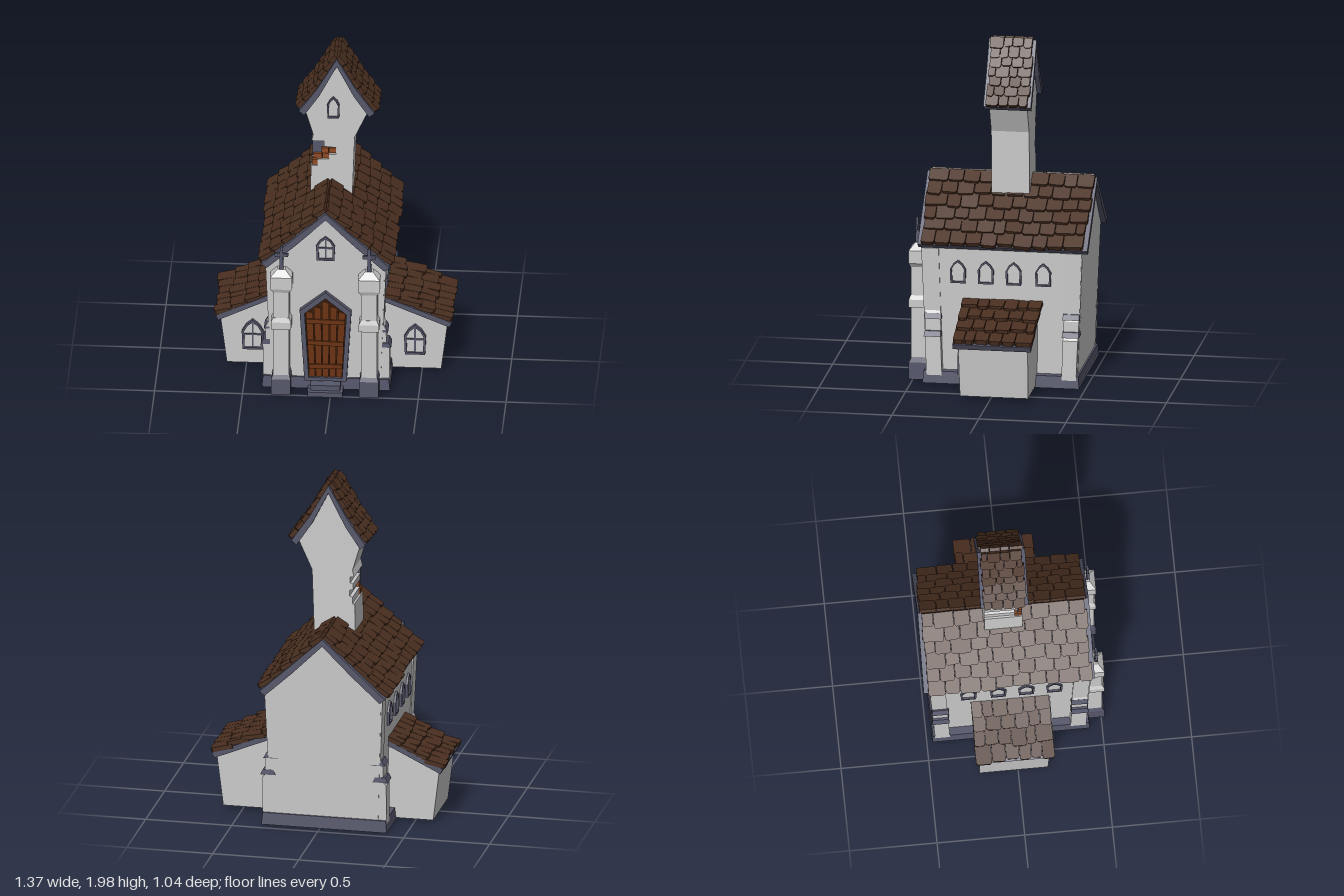
import * as THREE from 'three';
import { mergeGeometries } from 'three/addons/utils/BufferGeometryUtils.js';

const mat = (color) => new THREE.MeshStandardMaterial({ color, flatShading: true });
const wall = mat(0xcccccc), slate = mat(0x55566a), tileMat = mat(0x4a2f20);
const wood = mat(0x6b3312), darkWood = mat(0x3a1c0c), brick = mat(0x8f4a25);

let seed = 7;
const rnd = () => ((seed = (seed * 16807) % 2147483647) / 2147483647);
const jit = (a) => (rnd() - 0.5) * 2 * a;

function add(parent, name, geo, material, x = 0, y = 0, z = 0) {
  const m = new THREE.Mesh(geo, material);
  m.name = name;
  m.position.set(x, y, z);
  parent.add(m);
  return m;
}
const poly = (pts) => new THREE.Shape(pts.map(([x, y]) => new THREE.Vector2(x, y)));

// Flat outline pushed from z0 to z1, widening in z with height by flare
function prism(pts, z0, z1, flare = 0, hole) {
  const s = poly(pts);
  if (hole) s.holes.push(poly(hole));
  const g = new THREE.ExtrudeGeometry(s, { depth: z1 - z0, bevelEnabled: false }).translate(0, 0, z0);
  const p = g.attributes.position;
  for (let i = 0; i < p.count; i++) p.setZ(i, p.getZ(i) * (1 + flare * p.getY(i)));
  return g;
}

// Box standing on y = 0 whose top can differ from its bottom
function taper(w0, d0, w1, d1, h) {
  const g = new THREE.BoxGeometry(1, h, 1).translate(0, h / 2, 0), p = g.attributes.position;
  for (let i = 0; i < p.count; i++) {
    const top = p.getY(i) > h / 2;
    p.setX(i, p.getX(i) * (top ? w1 : w0));
    p.setZ(i, p.getZ(i) * (top ? d1 : d0));
  }
  return g;
}

// Pointed arch window facing +z, standing on its own origin
function archPts(w, h, e = 0) {
  const a = w / 2 - e;
  return [[-a, e], [a, e], [a * 1.08, h * 0.6], [a * 0.65, h * 0.83 - e * 0.6], [0, h - e * 1.3],
    [-a * 0.65, h * 0.83 - e * 0.6], [-a * 1.08, h * 0.6]];
}
function windowAt(parent, name, w, h, x, y, z, turn, bars = true, e = 0.012) {
  const g = new THREE.Group();
  g.name = name;
  add(g, 'windowFrame', prism(archPts(w, h), 0, 0.028, 0, archPts(w, h, e)), slate);
  add(g, 'windowPane', prism(archPts(w, h, e * 0.9), 0, 0.016), wall);
  if (bars) {
    add(g, 'mullion', new THREE.BoxGeometry(0.009, h * 0.9, 0.012), slate, 0, h * 0.48, 0.017);
    add(g, 'crossbar', new THREE.BoxGeometry(w * 0.95, 0.009, 0.012), slate, 0, h * 0.5, 0.017);
  }
  g.position.set(x, y, z);
  g.rotation.y = turn;
  parent.add(g);
}

// Rows of uneven, overlapping tiles down a slope; pts run from ridge to eave, side mirrors in x
function tiles(parent, pts, side, z0, z1, rows, cols) {
  const curve = new THREE.CatmullRomCurve3(pts.map(([x, y]) => new THREE.Vector3(x, y, 0)));
  const len = curve.getLength() / rows, list = [];
  for (let r = 0; r < rows; r++) {
    const p = curve.getPointAt((r + 0.5) / rows), t = curve.getTangentAt((r + 0.5) / rows);
    const angle = Math.atan2(t.y, t.x);
    const cuts = [z0 + jit(0.008)];
    for (let c = 1; c < cols; c++) cuts.push(z0 + ((z1 - z0) * (c + (r % 2 ? 0.2 : -0.2) + jit(0.18))) / cols);
    cuts.push(z1 + jit(0.008));
    for (let c = 0; c < cols; c++) {
      const w = (cuts[c + 1] - cuts[c]) / 2 - 0.0015, k = 0.01;
      const a = -len * (r ? 0.7 : 0.5), b = len * (0.55 + jit(0.12));
      const g = prism([[a, -w], [b - k, -w], [b, -w + k], [b + jit(0.005), w - k], [b - k, w], [a, w]], 0, 0.026);
      g.rotateX(-Math.PI / 2);
      g.rotateZ(0.17 + jit(0.05));
      if (side < 0) g.rotateY(Math.PI);
      g.rotateY(jit(0.03));
      g.rotateZ(side * angle);
      list.push(g.translate(side * p.x, p.y, (cuts[c] + cuts[c + 1]) / 2));
    }
  }
  add(parent, 'roofTiles', mergeGeometries(list), tileMat);
}

// Two-sided roof: slate boarding with tiles on both slopes
function gableRoof(parent, [ridge, mid, eave], t, z0, z1, inset, rows, cols) {
  const half = [ridge, mid, eave, [eave[0] - 0.03, eave[1] - 0.026], [mid[0] - 0.012, mid[1] - t], [0, ridge[1] - t]];
  for (const s of [1, -1]) {
    add(parent, 'roofBoarding', prism(half.map(([x, y]) => [x * s, y]), z0, z1), slate);
    tiles(parent, [ridge, mid, eave], s, z0 + inset, z1 - inset, rows, cols);
  }
}

function buildNave(root) {
  const nave = new THREE.Group();
  nave.name = 'nave';
  nave.position.x = -0.03;
  root.add(nave);
  add(nave, 'naveWalls', prism([[-0.31, 0.02], [0.31, 0.02], [0.335, 0.8], [0, 1.13], [-0.335, 0.8]], -0.452, 0.412, 0.09), wall);
  add(nave, 'plinth', taper(0.73, 0.9, 0.715, 0.89, 0.07), slate, 0, 0.01, -0.02);
  gableRoof(nave, [[0, 1.162], [0.185, 0.99], [0.365, 0.826]], 0.042, -0.518, 0.458, 0.018, 6, 10);
  windowAt(nave, 'gableWindow', 0.1, 0.155, 0, 0.86, 0.432, 0);

  for (const s of [1, -1]) {
    for (const z of [0.23, 0.07, -0.09, -0.26]) windowAt(nave, 'sideWindow', 0.085, 0.135, s * 0.316, 0.6, z, s * Math.PI / 2, false, 0.01);
    // Stepped corner buttresses
    for (const [z0, z1, y] of [[0.318, 0.406, 0], [-0.45, -0.366, 0.025]]) {
      const o = [[0.25, 0.02], [0.36, 0.02], [0.36, 0.29], [0.343, 0.31], [0.343, 0.4], [0.328, 0.43], [0.343, 0.8], [0.25, 0.8]];
      add(nave, 'buttress', prism(o.map(([x, h]) => [s * x, h]), z0, z1, 0.09), wall);
      const z = (z0 + z1) * 0.515;
      add(nave, 'buttressLedge', taper(0.09, 0.098, 0.06, 0.092, 0.03), slate, s * 0.326, 0.285 + y, z);
      add(nave, 'buttressLedge', taper(0.085, 0.098, 0.05, 0.092, 0.03), slate, s * 0.311, 0.385 + y, z);
    }
    buildColumn(nave, s * 0.25);
  }

  // Door with pointed frame, planks and battens
  const outer = [[-0.12, 0.08], [0.12, 0.08], [0.147, 0.53], [0, 0.655], [-0.147, 0.53]];
  const inner = [[-0.095, 0.1], [0.095, 0.1], [0.119, 0.515], [0, 0.615], [-0.119, 0.515]];
  add(nave, 'doorFrame', prism(outer, 0.4, 0.465, 0, inner), slate);
  add(nave, 'doorBacking', prism(inner, 0.4, 0.443), darkWood);
  for (let i = -2; i <= 2; i++) {
    const x0 = i * 0.038, x1 = i * 0.0465, top = 0.605 - Math.abs(i) * 0.037 - rnd() * 0.015;
    add(nave, 'doorPlank', prism([[x0 - 0.017, 0.1], [x0 + 0.017, 0.1], [x1 + 0.02, top - 0.012], [x1 - 0.02, top]], 0.435, 0.452), wood);
  }
  for (const [y, w] of [[0.17, 0.19], [0.32, 0.205], [0.46, 0.22]]) {
    add(nave, 'doorBatten', new THREE.BoxGeometry(w, 0.028, 0.01), wood, 0, y, 0.455).rotation.z = jit(0.04);
  }
  add(nave, 'lowerStep', new THREE.BoxGeometry(0.2, 0.03, 0.12), slate, 0, 0.015, 0.452);
  add(nave, 'upperStep', new THREE.BoxGeometry(0.17, 0.032, 0.09), slate, 0, 0.046, 0.443);
}

// Front column topped by a cross
function buildColumn(parent, x) {
  const c = new THREE.Group();
  c.name = 'frontColumn';
  c.position.set(x, 0, 0.468);
  parent.add(c);
  add(c, 'columnBase', taper(0.11, 0.12, 0.11, 0.12, 0.1), slate, 0, 0.01, -0.01);
  add(c, 'columnBaseSlope', taper(0.11, 0.12, 0.09, 0.09, 0.03), slate, 0, 0.11, -0.01);
  add(c, 'columnShaft', taper(0.09, 0.085, 0.092, 0.085, 0.56), wall, 0, 0.13, -0.004);
  add(c, 'columnRing', taper(0.115, 0.1, 0.115, 0.1, 0.045), wall, 0, 0.435);
  add(c, 'columnRingSlope', taper(0.115, 0.1, 0.09, 0.08, 0.025), wall, 0, 0.48);
  add(c, 'columnNeck', taper(0.09, 0.08, 0.125, 0.1, 0.025), wall, 0, 0.67);
  add(c, 'columnCap', taper(0.125, 0.1, 0.125, 0.1, 0.075), wall, 0, 0.695);
  add(c, 'columnTop', taper(0.125, 0.1, 0.045, 0.035, 0.04), wall, 0, 0.77);
  add(c, 'crossPost', taper(0.024, 0.02, 0.016, 0.014, 0.15), slate, 0, 0.805, 0.008);
  add(c, 'crossArm', new THREE.BoxGeometry(0.078, 0.018, 0.014), slate, 0, 0.9, 0.008);
}

// Lean-to wing on each side
function buildWing(root, s) {
  const wing = new THREE.Group();
  wing.name = s > 0 ? 'leftWing' : 'rightWing';
  root.add(wing);
  const xi = s > 0 ? 0.285 : 0.345;
  const flip = (pts) => pts.map(([x, y]) => [s * x, y]);
  add(wing, 'wingWalls', prism(flip([[0.24, 0.02], [0.61, 0.02], [0.648, 0.33], [xi, 0.48], [0.24, 0.48]]), -0.195, 0.195, 0.08).translate(0, 0, -0.025), wall);
  add(wing, 'wingRoofBoarding', prism(flip([[xi - 0.03, 0.505], [0.672, 0.338], [0.658, 0.308], [xi - 0.03, 0.475]]), -0.245, 0.205), slate);
  tiles(wing, [[xi, 0.494], [0.48, 0.42], [0.664, 0.335]], s, -0.25, 0.208, 4, 6);
  windowAt(wing, 'wingWindow', 0.115, 0.19, s * 0.462, 0.12, 0.17, 0);
}

function buildTower(root) {
  const tower = new THREE.Group();
  tower.name = 'bellTower';
  root.add(tower);
  // Plaster face with a deep broken patch, and a rear part with a chipped edge
  const right = [[0.095, 1], [0.11, 1.45], [0.187, 1.62], [0.02, 1.92], [-0.172, 1.62], [-0.125, 1.46], [-0.135, 1.42]];
  const patch = [[-0.065, 1.42], [-0.065, 1.385], [0.005, 1.38], [0.005, 1.335], [-0.035, 1.335], [-0.035, 1.305], [-0.1, 1.3], [-0.1, 1.26]];
  const chips = [[-0.112, 1.42], [-0.112, 1.385], [-0.128, 1.38], [-0.128, 1.345], [-0.108, 1.34], [-0.108, 1.305], [-0.126, 1.3], [-0.126, 1.26]];
  const left = [[-0.138, 1.26], [-0.143, 1]];
  add(tower, 'towerFace', prism([...right, ...patch, ...left], 0.04, 0.07), wall);
  add(tower, 'towerWalls', prism([...right, ...chips, ...left], -0.148, 0.04), wall);
  add(tower, 'patchBacking', new THREE.BoxGeometry(0.08, 0.11, 0.012), slate, -0.09, 1.37, 0.045);
  for (const [x, y, w] of [[-0.115, 1.278, 0.035], [-0.1, 1.32, 0.05], [-0.055, 1.322, 0.036], [-0.058, 1.357, 0.04],
    [-0.016, 1.357, 0.04]]) {
    add(tower, 'exposedBrick', new THREE.BoxGeometry(w, 0.032, 0.04), brick, x, y, 0.045);
  }
  windowAt(tower, 'towerWindow', 0.066, 0.135, -0.01, 1.58, 0.062, 0, false, 0.009);
  const roof = new THREE.Group();
  roof.name = 'towerRoof';
  roof.position.x = 0.01;
  tower.add(roof);
  gableRoof(roof, [[0, 1.968], [0.11, 1.775], [0.215, 1.625]], 0.046, -0.175, 0.098, 0.016, 7, 4);
}

export function createModel() {
  seed = 7;
  const root = new THREE.Group();
  root.name = 'chapel';
  buildNave(root);
  buildWing(root, 1);
  buildWing(root, -1);
  buildTower(root);
  return root;
}
